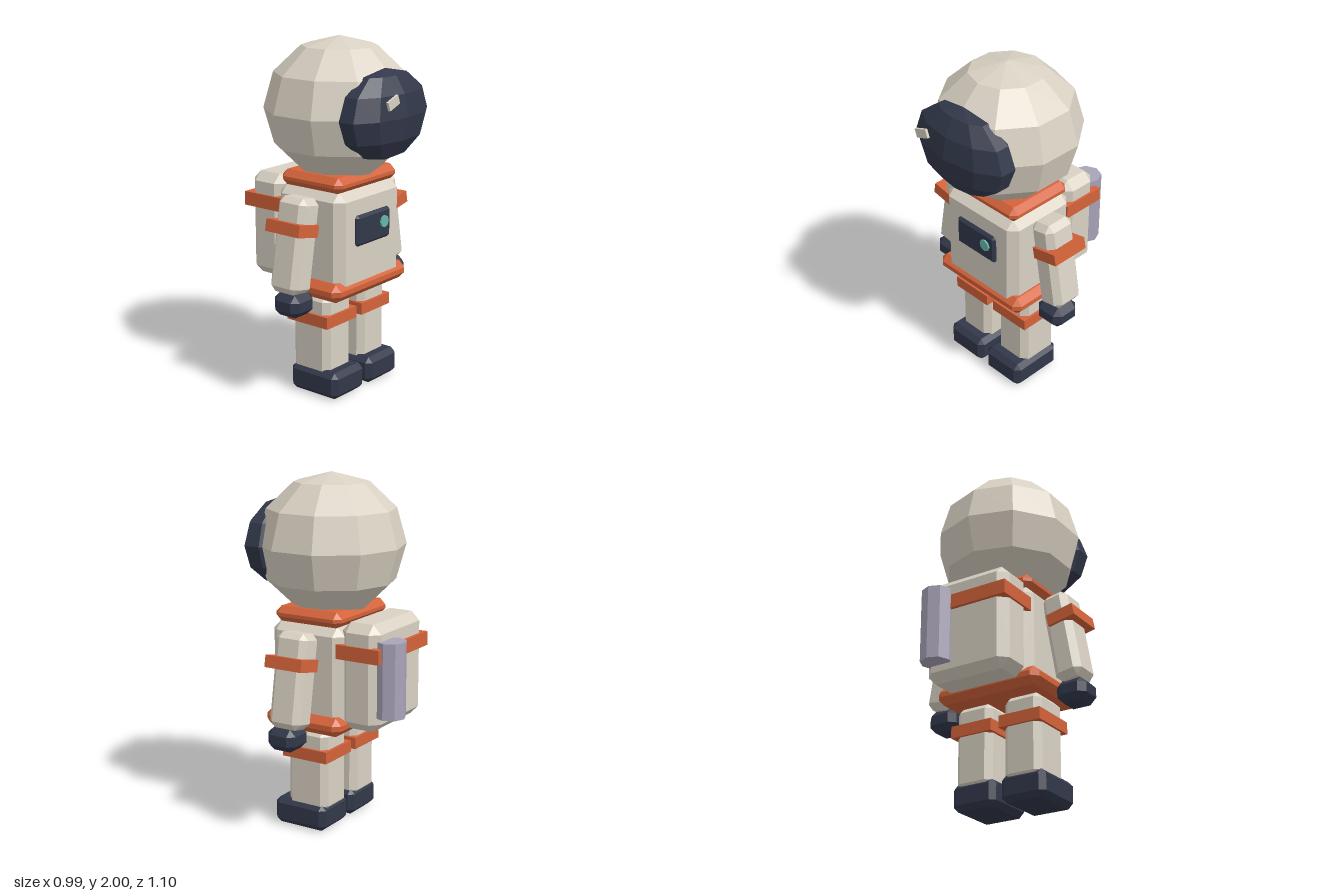
import * as THREE from 'three';
import { ConvexGeometry } from 'three/addons/geometries/ConvexGeometry.js';

const paint = (name, color) => {
  const m = new THREE.MeshStandardMaterial({ color, flatShading: true });
  m.name = name;
  return m;
};

// Box with every edge chamfered by b
function chamferBox(w, h, d, b) {
  const x = w / 2, y = h / 2, z = d / 2, pts = [];
  for (const i of [-1, 1]) for (const j of [-1, 1]) for (const k of [-1, 1]) {
    pts.push(
      new THREE.Vector3(i * x, j * (y - b), k * (z - b)),
      new THREE.Vector3(i * (x - b), j * y, k * (z - b)),
      new THREE.Vector3(i * (x - b), j * (y - b), k * z));
  }
  return new ConvexGeometry(pts);
}

// Ten-sided ellipsoid with a vertex column facing forward
function ellipsoid(rx, ry, rz) {
  return new THREE.SphereGeometry(1, 10, 6).rotateY(Math.PI / 2).scale(rx, ry, rz);
}

export function createModel() {
  const cream = paint('suitCream', 0xd9d1c3);
  const orange = paint('trimOrange', 0xd4633a);
  const dark = paint('darkNavy', 0x32384a);
  const teal = paint('lightTeal', 0x62b8a8);
  const lilac = paint('tankLilac', 0xaaa4b8);

  // The figure is turned slightly to its left
  const figure = new THREE.Group();
  figure.name = 'figure';
  figure.rotation.y = THREE.MathUtils.degToRad(25);
  figure.position.z = 0.03;

  const add = (name, geometry, material, x, y, z, tilt = 0) => {
    const mesh = new THREE.Mesh(geometry, material);
    mesh.name = name;
    mesh.position.set(x, y, z);
    mesh.rotation.z = tilt;
    figure.add(mesh);
    return mesh;
  };

  // Helmet, visor and its glint
  add('helmet', ellipsoid(0.42, 0.4, 0.42), cream, 0, 1.6, 0);
  add('visor', ellipsoid(0.347, 0.25, 0.155), dark, 0, 1.6, 0.31);
  add('visorGlint', new THREE.BoxGeometry(0.09, 0.05, 0.015), cream, -0.144, 1.7, 0.474, 0.35);

  // Torso with collar and belt
  add('torso', chamferBox(0.56, 0.58, 0.465, 0.05), cream, 0, 0.9, 0);
  add('collar', chamferBox(0.535, 0.09, 0.43, 0.035), orange, 0, 1.225, 0);
  add('belt', chamferBox(0.655, 0.105, 0.495, 0.038), orange, 0, 0.638, 0);

  // Chest panel and light
  add('chestPanel', chamferBox(0.3, 0.175, 0.06, 0.015), dark, 0, 0.963, 0.222);
  add('panelLight', new THREE.CylinderGeometry(0.035, 0.035, 0.02, 8).rotateX(Math.PI / 2),
    teal, 0.082, 0.977, 0.252);

  // Backpack, strap and tank
  add('backpack', chamferBox(0.52, 0.6, 0.24, 0.05), cream, 0, 0.925, -0.328);
  add('backpackStrap', new THREE.BoxGeometry(0.546, 0.08, 0.268), orange, 0, 1.064, -0.334);
  add('tank', new THREE.CylinderGeometry(0.087, 0.087, 0.425, 8), lilac, 0.157, 0.925, -0.478);

  // Limbs, mirrored
  for (const [side, s] of [['left', 1], ['right', -1]]) {
    add(side + 'Arm', chamferBox(0.16, 0.53, 0.2, 0.035), cream, s * 0.385, 0.9, 0, s * 0.17);
    add(side + 'ArmBand', new THREE.BoxGeometry(0.165, 0.068, 0.236), orange, s * 0.405, 1.0, 0, s * 0.2);
    add(side + 'Glove', chamferBox(0.18, 0.13, 0.18, 0.037), dark, s * 0.42, 0.582, 0.02);
    add(side + 'Leg', chamferBox(0.23, 0.48, 0.26, 0.035), cream, s * 0.155, 0.35, 0);
    add(side + 'KneeBand', new THREE.BoxGeometry(0.26, 0.068, 0.29), orange, s * 0.155, 0.447, 0);
    add(side + 'Boot', chamferBox(0.274, 0.155, 0.336, 0.03), dark, s * 0.155, 0.0775, 0.04);
  }

  const model = new THREE.Group();
  model.name = 'astronaut';
  model.add(figure);
  return model;
}
